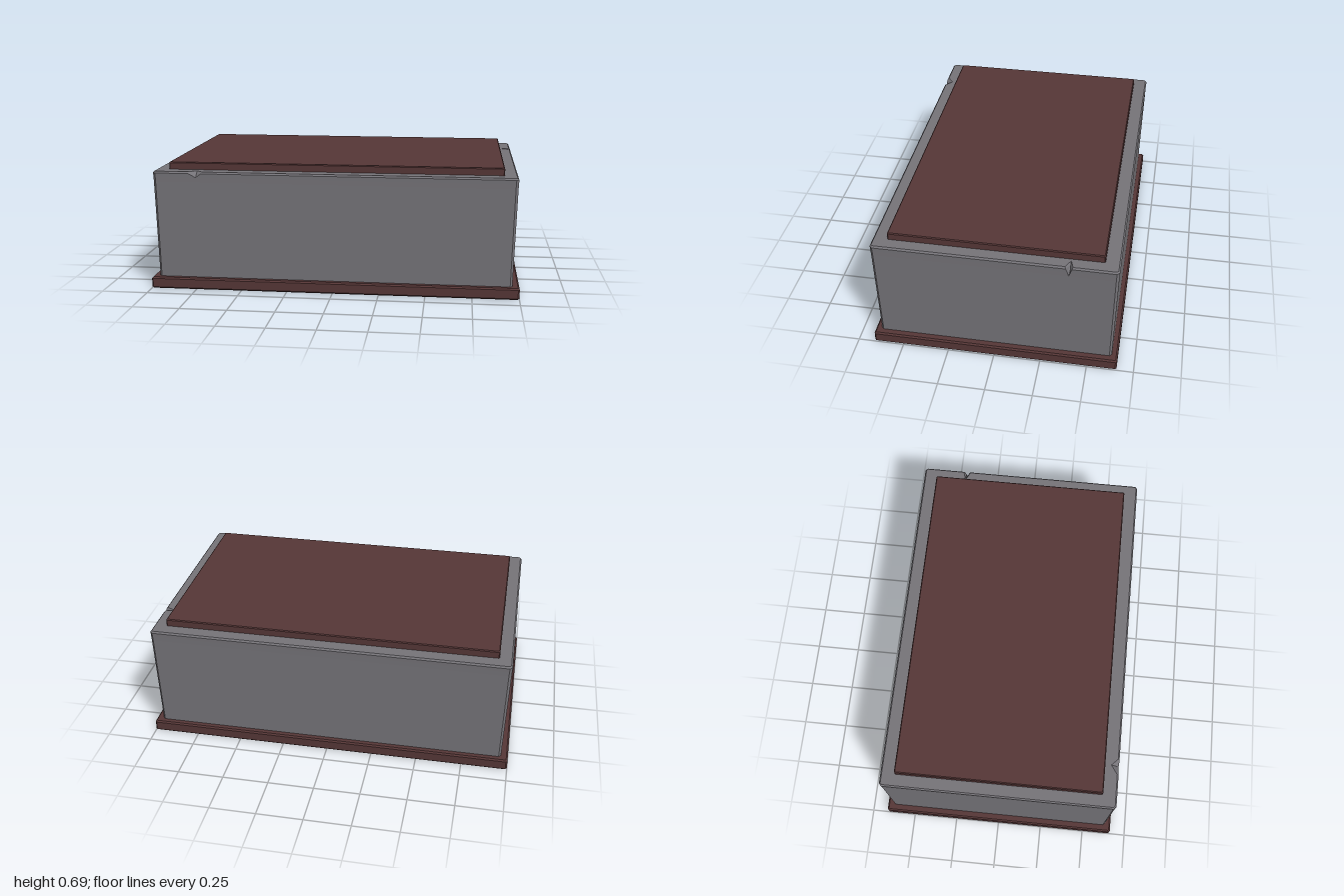
import * as THREE from 'three';

// Rectangle with clipped corners, counter-clockwise from above (v = -z).
// chipF / chipR (0..1) open small V-shaped chips in the front and +x sides.
function ring(y, hx, hz, c, chipF = null, chipR = null) {
  const p = [[-hx + c, -hz]];
  if (chipF !== null) {
    const t = Math.max(chipF, 0.02);
    p.push([-0.74 - 0.05 * t, -hz], [-0.74, -hz + 0.035 * chipF], [-0.74 + 0.035 * t, -hz]);
  }
  p.push([hx - c, -hz], [hx, -hz + c]);
  if (chipR !== null) {
    const t = Math.max(chipR, 0.02);
    p.push([hx, 0.387 - 0.02 * t], [hx - 0.05 * chipR, 0.392], [hx, 0.387 + 0.02 * t]);
  }
  p.push([hx, hz - c], [hx - c, hz], [-hx + c, hz], [-hx, hz - c], [-hx, -hz + c]);
  return { y, p };
}

// Join the rings from bottom to top and cap both ends
function loft(rings) {
  const pos = [], idx = [], n = rings[0].p.length;
  for (const { y, p } of rings) for (const [u, v] of p) pos.push(u, y, -v);
  for (let r = 0; r < rings.length - 1; r++) {
    for (let i = 0; i < n; i++) {
      const a = r * n + i, b = r * n + (i + 1) % n;
      idx.push(a, b, b + n, a, b + n, a + n);
    }
  }
  const cap = (r) => THREE.ShapeUtils.triangulateShape(
    rings[r].p.map(([u, v]) => new THREE.Vector2(u, v)), []);
  const top = rings.length - 1;
  for (const [a, b, c] of cap(top)) idx.push(top * n + a, top * n + b, top * n + c);
  for (const [a, b, c] of cap(0)) idx.push(a, c, b);
  const g = new THREE.BufferGeometry();
  g.setAttribute('position', new THREE.Float32BufferAttribute(pos, 3));
  g.setIndex(idx);
  const flat = g.toNonIndexed();
  flat.computeVertexNormals();
  return flat;
}

// Slab with bevelled edges
function slab(y0, y1, hx, hz, b) {
  return loft([
    ring(y0, hx - b, hz - b, b / 2),
    ring(y0 + b, hx, hz, b),
    ring(y1 - b, hx, hz, b),
    ring(y1, hx - b, hz - b, b / 2),
  ]);
}

export function createModel() {
  const stone = new THREE.MeshStandardMaterial({ color: 0x757378 });
  stone.name = 'grey stone';
  const trim = new THREE.MeshStandardMaterial({ color: 0x553636 });
  trim.name = 'dark red brown';

  const group = new THREE.Group();
  group.name = 'stoneBlock';
  const add = (name, geometry, material) => {
    const mesh = new THREE.Mesh(geometry, material);
    mesh.name = name;
    group.add(mesh);
  };

  add('basePlinth', slab(0, 0.063, 1, 0.66, 0.008), trim);

  // Body widens slightly towards the top, with two chipped edges
  add('body', loft([
    ring(0.05, 0.962, 0.628, 0.012, 0, 0),
    ring(0.595, 0.976, 0.639, 0.014, 0, 0),
    ring(0.62, 0.977, 0.64, 0.014, 0, 0.4),
    ring(0.641, 0.978, 0.641, 0.014, 0.8, 0.8),
    ring(0.65, 0.97, 0.633, 0.008, 1, 1),
  ]), stone);

  add('topPanel', slab(0.645, 0.69, 0.907, 0.563, 0.005), trim);
  return group;
}
